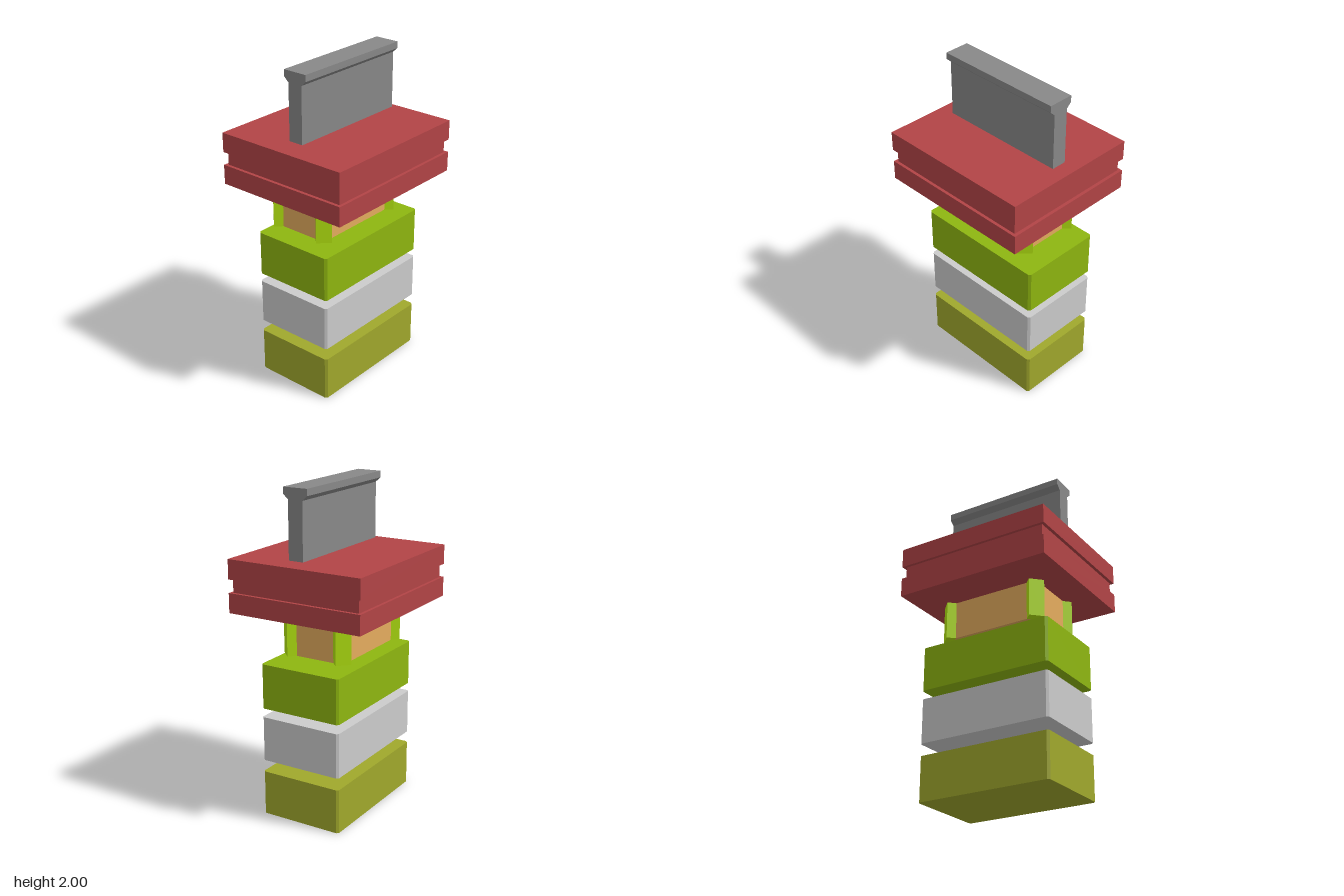
import * as THREE from 'three';

const material = (color) => new THREE.MeshStandardMaterial({ color });

function extrude(points, depth) {
  const shape = new THREE.Shape(points.map(([x, y]) => new THREE.Vector2(x, y)));
  return new THREE.ExtrudeGeometry(shape, { depth, bevelEnabled: false });
}

// Upright prism from a plan outline of [x, z] points
function prism(plan, y0, y1) {
  return extrude(plan.map(([x, z]) => [x, -z]), y1 - y0).rotateX(-Math.PI / 2).translate(0, y0, 0);
}

// Rectangle outline with its four corners cut at 45 degrees
function chamferedRect(w, d, c) {
  return [
    [w - c, d], [w, d - c], [w, c - d], [w - c, -d],
    [c - w, -d], [-w, c - d], [-w, d - c], [c - w, d],
  ];
}

export function createModel() {
  const model = new THREE.Group();
  const add = (name, geometry, mat, parent = model) => {
    const mesh = new THREE.Mesh(geometry, mat);
    mesh.name = name;
    parent.add(mesh);
    return mesh;
  };

  // Three stacked blocks with slightly cut corners
  const blockPlan = chamferedRect(0.263, 0.428, 0.013);
  const blocks = [
    ['lowerBlock', 0, 0.275, 0xa0a82c],
    ['middleBlock', 0.35, 0.625, 0xcccccc],
    ['upperBlock', 0.68, 0.955, 0x8eb610],
  ];
  for (const [name, y0, y1, color] of blocks) {
    add(name, prism(blockPlan, y0, y1), material(color)).position.set(-0.002, 0, -0.017);
  }

  // Core with a diagonal post on each cut corner
  const coreGroup = new THREE.Group();
  coreGroup.name = 'coreWithPosts';
  coreGroup.position.set(-0.025, 0, 0.003);
  model.add(coreGroup);
  const w = 0.19, d = 0.313, cut = 0.065, out = 0.04;
  add('core', prism(chamferedRect(w, d, cut), 0.995, 1.23), material(0xe4ac5e), coreGroup);
  const postMaterial = material(0xb0e010);
  for (const sx of [-1, 1]) {
    for (const sz of [-1, 1]) {
      const plan = [
        [w - cut, d], [w - cut + out, d + out], [w + out, d - cut + out], [w, d - cut],
      ].map(([x, z]) => [x * sx, z * sz]);
      add('cornerPost', prism(plan, 0.995, 1.23), postMaterial, coreGroup);
    }
  }

  // Wide cap: two slabs with a recessed layer between
  const capMaterial = material(0xb24446);
  const slabs = [
    ['lowerSlab', 1.25, 1.37, 0.877, 1],
    ['recessedLayer', 1.37, 1.45, 0.84, 0.96],
    ['upperSlab', 1.45, 1.57, 0.877, 1],
  ];
  for (const [name, y0, y1, sizeX, sizeZ] of slabs) {
    add(name, new THREE.BoxGeometry(sizeX, y1 - y0, sizeZ), capMaterial).position.y = (y0 + y1) / 2;
  }

  // Upright fin with a flared top edge
  const half = [[0.047, 1.59], [0.047, 1.932], [0.078, 1.96], [0.078, 2]];
  const profile = [...half, ...half.map(([x, y]) => [-x, y]).reverse()];
  add('topFin', extrude(profile, 0.805), material(0x888888)).position.set(0.023, 0, -0.422);

  return model;
}
